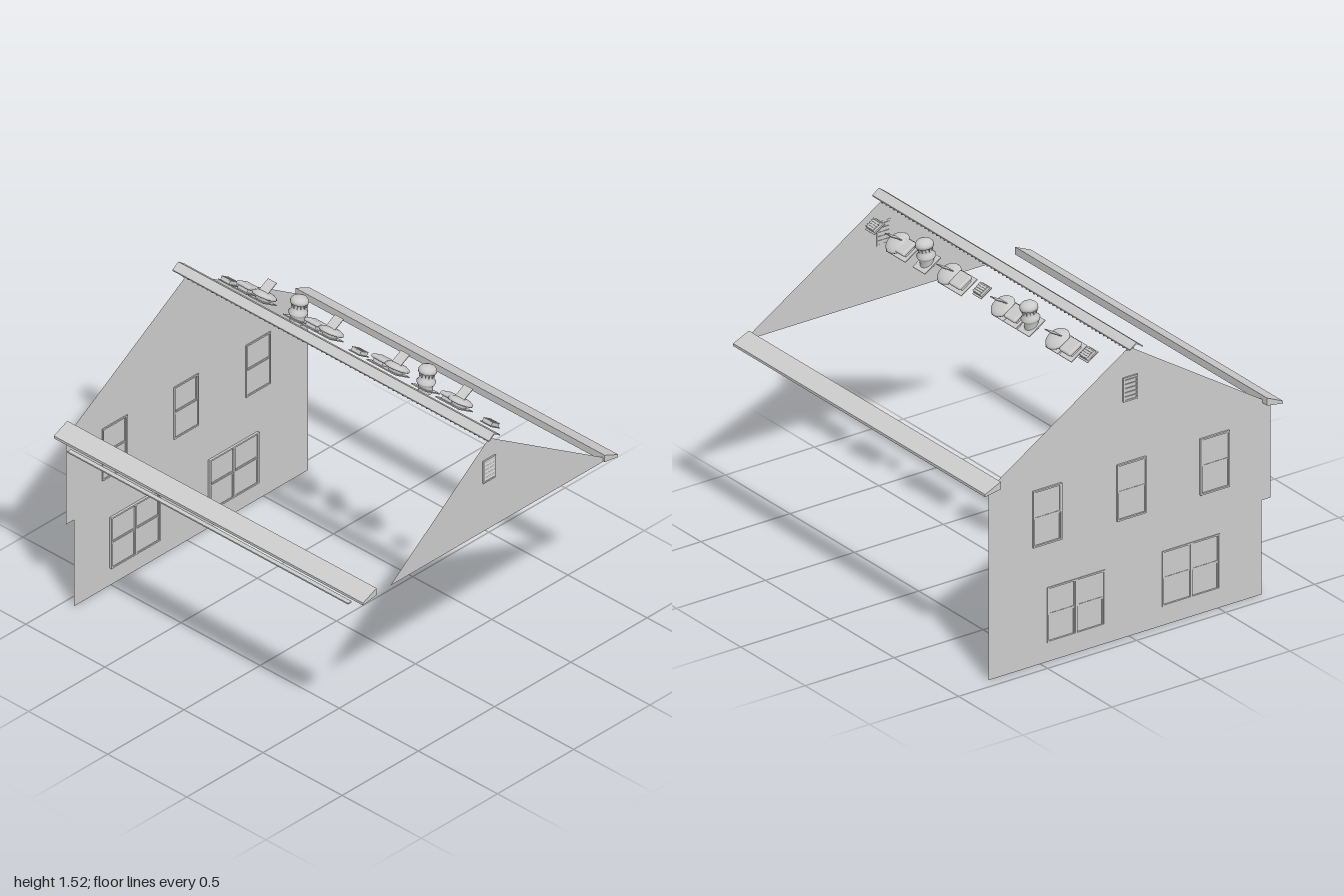
import * as THREE from 'three';
import { RoundedBoxGeometry } from 'three/addons/geometries/RoundedBoxGeometry.js';

const solid = new THREE.MeshStandardMaterial({ color: 0xcccccc, side: THREE.DoubleSide });
const flat = new THREE.MeshStandardMaterial({ color: 0xcccccc, side: THREE.DoubleSide, flatShading: true });

const WALL_X = -0.943;
const SLOPE = Math.atan(0.64);
const roofY = z => 1.497 - 0.64 * Math.abs(z);

function add(parent, name, geometry, x = 0, y = 0, z = 0, material = flat) {
  const mesh = new THREE.Mesh(geometry, material);
  mesh.name = name;
  mesh.position.set(x, y, z);
  parent.add(mesh);
  return mesh;
}

function group(parent, name, x = 0, y = 0, z = 0) {
  const g = new THREE.Group();
  g.name = name;
  g.position.set(x, y, z);
  parent.add(g);
  return g;
}

const box = (w, h, d) => new THREE.BoxGeometry(w, h, d);
const polygon = pts => new THREE.Shape(pts.map(p => new THREE.Vector2(...p)));
const rect = (z, y, w, h) => polygon([[z - w / 2, y - h / 2], [z + w / 2, y - h / 2], [z + w / 2, y + h / 2], [z - w / 2, y + h / 2]]);

// Places a (z, y) outline across the x axis; depth runs towards -x
function across(shape, depth) {
  const g = depth
    ? new THREE.ExtrudeGeometry(shape, { depth, bevelEnabled: false })
    : new THREE.ShapeGeometry(shape);
  return g.rotateY(-Math.PI / 2);
}

// Rectangular trim around an opening, centred on the origin
function frame(w, h, border, depth) {
  const s = rect(0, 0, w, h);
  s.holes.push(rect(0, 0, w - 2 * border, h - 2 * border));
  return across(s, depth).translate(depth / 2, 0, 0);
}

// Sash window: trim, an upper and a set-back lower pane for each bay
function sashWindow(parent, name, x, y, z, w, h, bays) {
  const g = group(parent, name, x, y, z);
  const depth = 0.016;
  add(g, 'windowTrim', frame(w, h, 0.008, depth));
  if (bays > 1) add(g, 'mullion', box(depth, h - 0.016, 0.01));
  const bw = w / bays;
  for (let i = 0; i < bays; i++) {
    const bz = (i - (bays - 1) / 2) * bw;
    for (const [part, s, dx] of [['upperSash', 1, -0.002], ['lowerSash', -1, 0.002]]) {
      add(g, part, frame(bw - 0.012, h / 2, 0.007, 0.006), dx, s * h / 4, bz);
      add(g, part + 'Pane', box(0.002, h / 2 - 0.01, bw - 0.02), dx, s * h / 4, bz);
    }
  }
}

// Louvred gable vent
function louvre(parent, name, x, y) {
  const g = group(parent, name, x, y, 0.003);
  add(g, 'louvreFrame', frame(0.08, 0.122, 0.008, 0.008));
  add(g, 'louvreBack', box(0.002, 0.11, 0.07));
  for (let i = -2; i <= 2; i++) {
    add(g, 'louvreSlat', box(0.002, 0.018, 0.066), 0, i * 0.021, 0).rotation.z = 0.4;
  }
}

// Group lying on the back roof slope
function onRoof(parent, name, x, z) {
  const g = group(parent, name, x, roofY(z), z);
  g.rotation.x = -SLOPE;
  return g;
}

const flashing = g => add(g, 'flashing', box(0.095, 0.005, 0.108));

// Small slotted box vent
function slotVent(parent, x) {
  const g = onRoof(parent, 'slotVent', x, -0.136);
  add(g, 'slotVentBase', box(0.07, 0.004, 0.072));
  add(g, 'slotVentHood', box(0.056, 0.016, 0.056), 0, 0.01, 0);
  for (let i = -2; i <= 2; i++) add(g, 'slotVentRib', box(0.06, 0.004, 0.006), 0, 0.019, i * 0.012);
}

// Rounded square hood
function squareVent(parent, x) {
  const g = onRoof(parent, 'squareVent', x, -0.152);
  flashing(g);
  add(g, 'squareVentNeck', box(0.06, 0.02, 0.06), 0, 0.012, 0);
  add(g, 'squareVentHood', new RoundedBoxGeometry(0.085, 0.02, 0.085, 3, 0.009), 0, 0.028, 0, solid);
}

// Round mushroom hood with a raised square flap
function mushroomVent(parent, x) {
  const g = onRoof(parent, 'mushroomVent', x, -0.152);
  flashing(g);
  const profile = [[0.036, 0], [0.036, 0.018], [0.058, 0.018], [0.062, 0.024], [0.058, 0.032], [0.042, 0.04], [0.022, 0.044], [0, 0.045]];
  add(g, 'mushroomHood', new THREE.LatheGeometry(profile.map(p => new THREE.Vector2(...p)), 24), 0, 0, 0, solid);
  add(parent, 'mushroomFlap', box(0.055, 0.004, 0.082), x, 1.455, -0.183).rotation.x = 0.5;
}

// Tall turbine vent
function turbineVent(parent, x) {
  flashing(onRoof(parent, 'turbineBase', x, -0.152));
  const g = group(parent, 'turbineVent', x, 1.385, -0.148);
  g.rotation.x = -0.16;
  const profile = [[0.034, 0], [0.034, 0.035], [0.042, 0.045], [0.046, 0.056], [0.036, 0.068], [0.03, 0.085], [0.032, 0.1], [0.043, 0.104], [0.043, 0.118], [0.034, 0.13], [0.018, 0.136], [0, 0.138]];
  add(g, 'turbineBody', new THREE.LatheGeometry(profile.map(p => new THREE.Vector2(...p)), 20), 0, 0, 0, solid);
  for (let i = 0; i < 12; i++) {
    const a = i / 12 * Math.PI * 2;
    add(g, 'turbineFin', box(0.006, 0.018, 0.003), Math.cos(a) * 0.034, 0.092, Math.sin(a) * 0.034).rotation.y = -a;
  }
}

export function createModel() {
  const model = new THREE.Group();
  model.name = 'houseShell';

  // End wall with openings for its windows
  const windows = [];
  for (const z of [0.477, 0.01, -0.463]) windows.push(['upperWindow', -0.945, 0.7425, z, 0.163, 0.285, 1]);
  for (const z of [0.347, -0.299]) windows.push(['lowerWindow', -0.939, 0.235, z, 0.323, 0.28, 2]);
  const wall = polygon([[0.744, 0], [0.744, 0.475], [0.794, 0.475], [0.794, 0.955], [0, 1.462], [-0.791, 0.96], [-0.791, 0]]);
  for (const [, , y, z, w, h] of windows) wall.holes.push(rect(z, y, w - 0.008, h - 0.008));
  add(model, 'endWall', across(wall), WALL_X);
  for (const w of windows) sashWindow(model, ...w);
  louvre(model, 'endWallLouvre', -0.948, 1.254);

  // Opposite gable triangle
  add(model, 'gable', across(polygon([[0.648, 0.966], [0, 1.462], [-0.785, 0.966]])), 0.966);
  louvre(model, 'gableLouvre', 0.969, 1.293);

  // Eaves along front and back
  for (const s of [1, -1]) {
    const eave = polygon([[s * 0.748, 0.967], [s * 0.837, 0.953], [s * 0.837, 0.966], [s * 0.748, 1.005]]);
    add(model, s > 0 ? 'frontEave' : 'backEave', across(eave, 1.955), 0.975);
  }
  add(model, 'eaveStrip', box(1.775, 0.007, 0.024), -0.0075, 0.917, 0.825);

  // Ridge cap with a row of ribs on both sides
  const cap = polygon([[-0.037, 1.473], [0, 1.498], [0.037, 1.473], [0.037, 1.479], [0, 1.506], [-0.037, 1.479]]);
  add(model, 'ridgeCap', across(cap, 2), 1);
  const ribs = 64;
  for (const s of [1, -1]) {
    add(model, 'ridgeRail', box(1.9, 0.004, 0.004), 0, 1.474, s * 0.018);
    for (let i = 0; i < ribs; i++) {
      add(model, 'ridgeRib', box(0.006, 0.034, 0.008), -0.95 + 1.9 * i / (ribs - 1), 1.469, s * 0.015);
    }
  }

  // Roof vents on the back slope
  for (const x of [-0.815, 0.01, 0.84]) slotVent(model, x);
  for (const x of [-0.72, -0.29, 0.135, 0.57]) squareVent(model, x);
  for (const x of [-0.615, -0.192, 0.225, 0.625]) mushroomVent(model, x);
  for (const x of [-0.393, 0.417]) turbineVent(model, x);

  return model;
}
